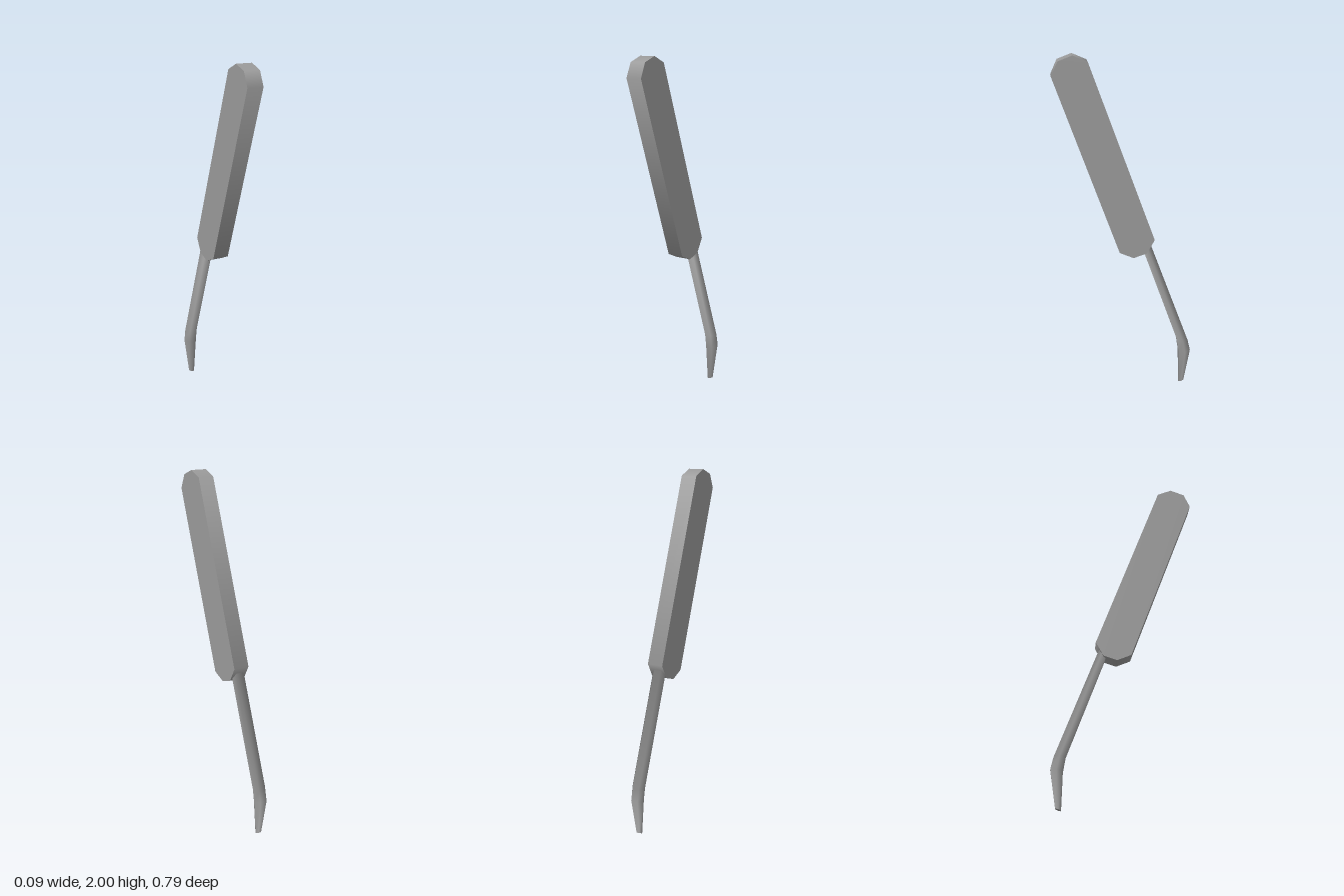
import * as THREE from 'three';

const material = new THREE.MeshStandardMaterial({ color: 0x9c9c9c });

// Flat slab with chamfered ends, drawn in the z-y plane and extruded along x
function makeHandle() {
  const outline = [
    [0.396, 1.89], [0.36, 1.97], [0.28, 2.0], [0.2, 1.965],
    [-0.168, 0.95], [-0.123, 0.87], [-0.047, 0.845], [0.033, 0.88],
  ].map(([z, y]) => new THREE.Vector2(-z, y));
  const count = outline.length;
  const width = 0.094;
  const geo = new THREE.ExtrudeGeometry(new THREE.Shape(outline), { depth: width, bevelEnabled: false });

  // Smooth rim: each corner takes the mean direction of its two edges
  const edgeNormal = (i) => {
    const d = outline[(i + 1) % count].clone().sub(outline[i]).normalize();
    return new THREE.Vector2(-d.y, d.x);
  };
  const cornerNormals = outline.map((_, i) => edgeNormal(i).add(edgeNormal((i + count - 1) % count)).normalize());
  const { position, normal } = geo.attributes;
  for (let v = 0; v < position.count; v++) {
    if (Math.abs(normal.getZ(v)) > 0.5) continue; // flat sides stay flat
    const p = new THREE.Vector2(position.getX(v), position.getY(v));
    const n = cornerNormals[outline.findIndex((c) => c.distanceTo(p) < 0.001)];
    normal.setXYZ(v, n.x, n.y, 0);
  }

  geo.translate(0, 0, -width / 2);
  geo.rotateY(Math.PI / 2); // shape x becomes -z, depth becomes x
  const mesh = new THREE.Mesh(geo, material);
  mesh.name = 'handle';
  return mesh;
}

// Six-sided bent shank: a cylinder whose rows are moved onto bent, tapering rings
function makeShank() {
  const centreX = -0.003;
  // front z, front y, back z, back y, half width
  const rings = [
    [-0.077, 0.962, -0.139, 0.94, 0.041],
    [-0.316, 0.292, -0.381, 0.285, 0.041],
    [-0.329, 0.21, -0.396, 0.22, 0.041],
    [-0.332, 0.002, -0.363, 0.012, 0.018],
  ];
  const rows = rings.length - 1;
  const geo = new THREE.CylinderGeometry(1, 1, 1, 6, rows);
  geo.rotateY(Math.PI / 2); // corners point to the sides, flats to front and back
  const { position, normal } = geo.attributes;
  for (let v = 0; v < position.count; v++) {
    const [fz, fy, bz, by, half] = rings[Math.round((0.5 - position.getY(v)) * rows)];
    const t = position.getZ(v) / Math.sin(Math.PI / 3); // 1 on front flat, -1 on back flat
    position.setXYZ(
      v,
      centreX + half * position.getX(v),
      (fy + by) / 2 + (t * (fy - by)) / 2,
      (fz + bz) / 2 + (t * (fz - bz)) / 2,
    );
    // Turn the normal with its ring
    const tilt = Math.atan2(fy - by, fz - bz);
    const n = new THREE.Vector3().fromBufferAttribute(normal, v).applyAxisAngle(new THREE.Vector3(1, 0, 0), -tilt);
    normal.setXYZ(v, n.x, n.y, n.z);
  }
  const mesh = new THREE.Mesh(geo, material);
  mesh.name = 'shank';
  return mesh;
}

export function createModel() {
  const group = new THREE.Group();
  group.name = 'bentTool';
  group.add(makeHandle(), makeShank());
  return group;
}
